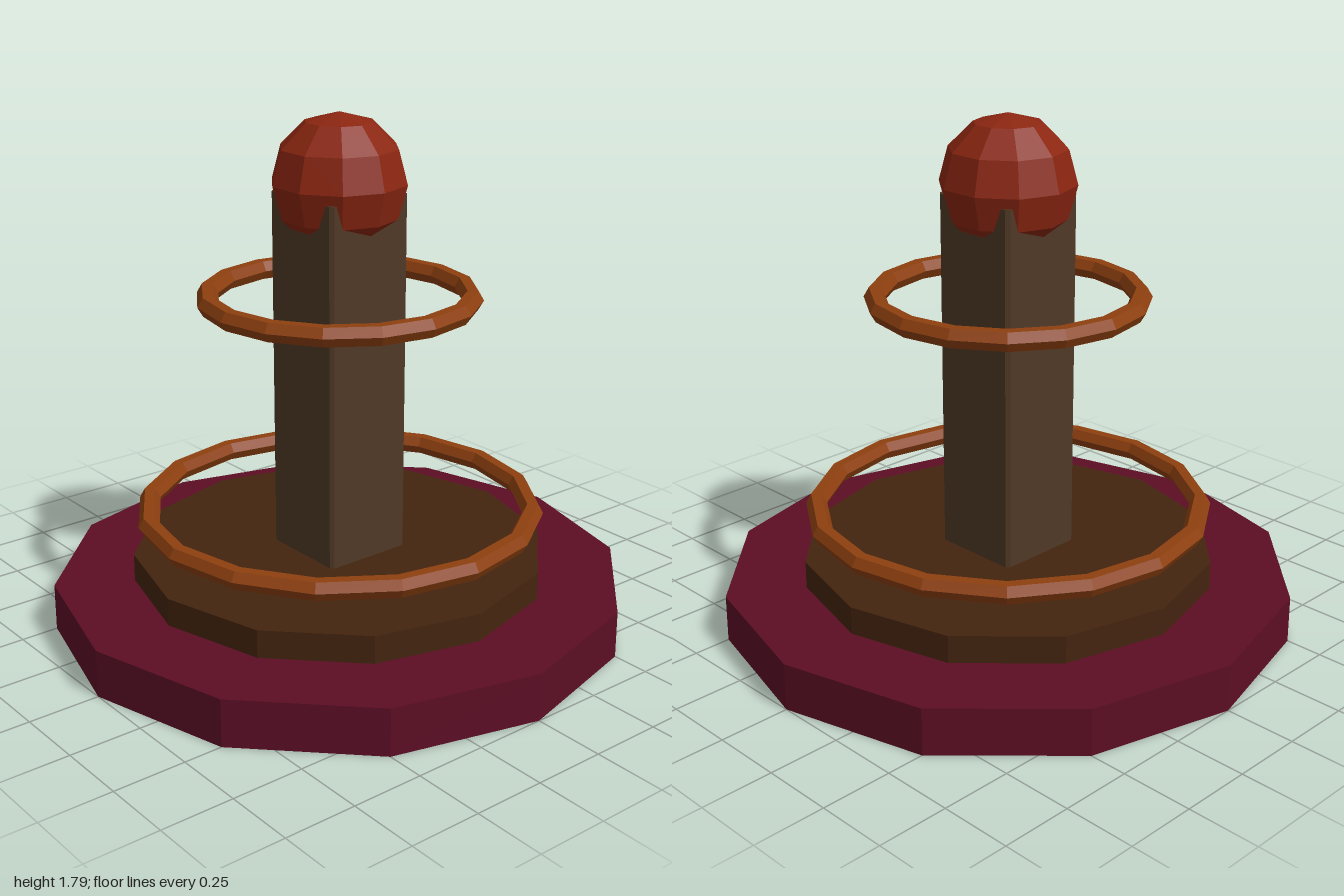
import * as THREE from 'three';

const material = (name, color) => {
  const m = new THREE.MeshStandardMaterial({ color, flatShading: true });
  m.name = name;
  return m;
};

export function createModel() {
  const group = new THREE.Group();
  group.name = 'ringedPost';

  const burgundy = material('burgundy', 0x5c0e24);
  const darkWood = material('dark wood', 0x44240f);
  const postWood = material('post wood', 0x503926);
  const copper = material('copper', 0x8e400f);
  const red = material('brick red', 0x8b2611);

  const add = (name, geometry, mat, y) => {
    const mesh = new THREE.Mesh(geometry, mat);
    mesh.name = name;
    mesh.position.y = y;
    group.add(mesh);
  };

  // Two stacked twelve-sided discs
  const disc = (name, radius, bottom, top, mat) =>
    add(name, new THREE.CylinderGeometry(radius, radius, top - bottom, 12), mat, (bottom + top) / 2);
  disc('base', 1, 0, 0.165, burgundy);
  disc('step', 0.722, 0.165, 0.262, darkWood);

  // Square post with narrow chamfered corners
  const h = 0.164, c = 0.152;
  const outline = new THREE.Shape(
    [[h, -c], [h, c], [c, h], [-c, h], [-h, c], [-h, -c], [-c, -h], [c, -h]]
      .map(([x, y]) => new THREE.Vector2(x, y)));
  const post = new THREE.ExtrudeGeometry(outline, { depth: 1.27, bevelEnabled: false });
  post.rotateX(-Math.PI / 2);
  add('post', post, postWood, 0.25);

  // Floating rings with a six-sided section
  const ring = (name, radius, y) =>
    add(name, new THREE.TorusGeometry(radius, 0.037, 6, 16).rotateX(Math.PI / 2), copper, y);
  ring('lowerRing', 0.674, 0.403);
  ring('upperRing', 0.449, 1.163);

  // Faceted ball on top, with a corner facing front
  add('ball', new THREE.SphereGeometry(0.232, 10, 6).rotateY(Math.PI / 2), red, 1.555);

  return group;
}
